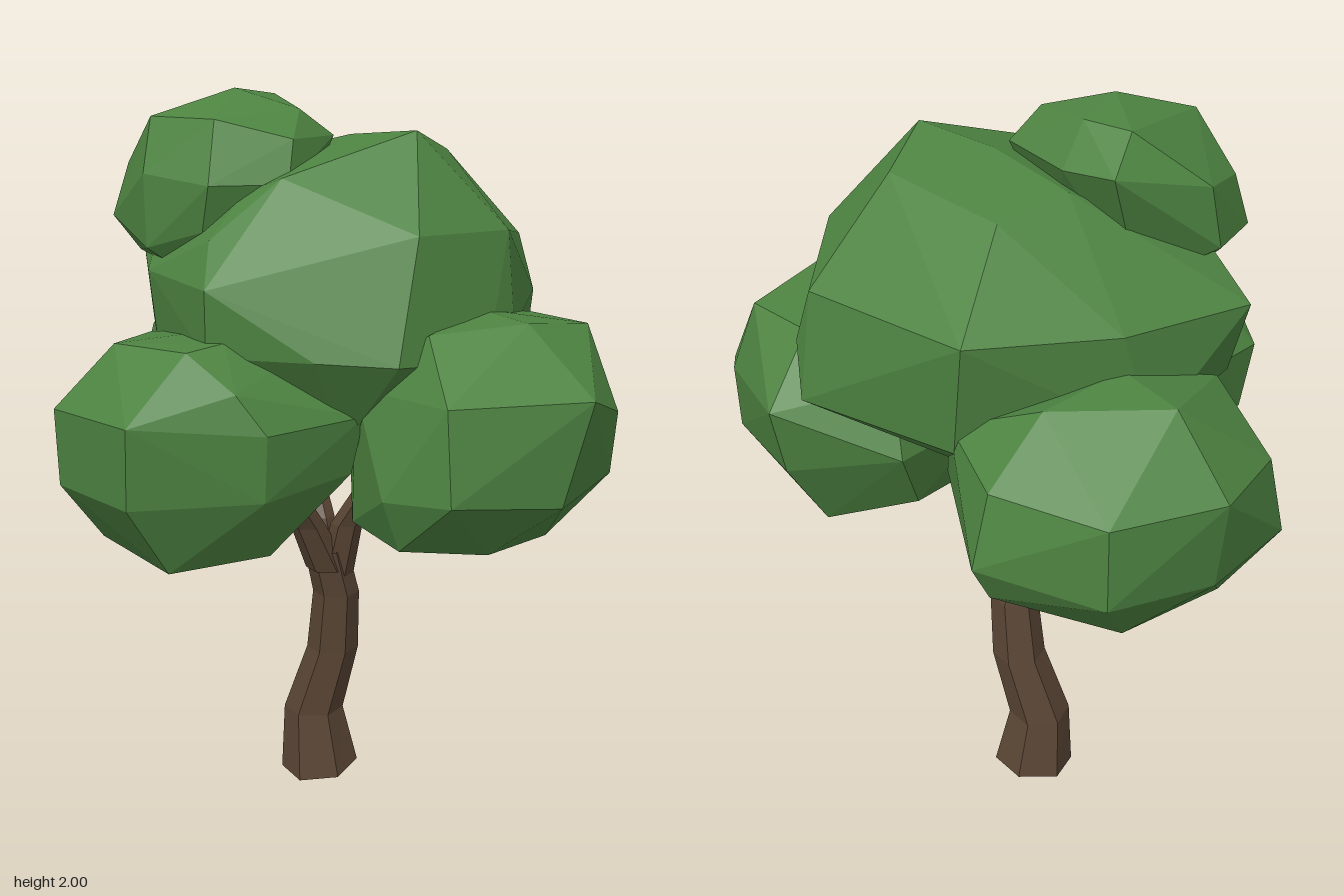
import * as THREE from 'three';
import { ConvexGeometry } from 'three/addons/geometries/ConvexGeometry.js';

const leaf = new THREE.MeshStandardMaterial({ color: 0x4d8341, flatShading: true });
leaf.name = 'leaf green';
const bark = new THREE.MeshStandardMaterial({ color: 0x5a4635, flatShading: true, side: THREE.DoubleSide });
bark.name = 'bark brown';

// Faceted leaf clump: the hull around a few corner points
function clump(name, corners) {
  const mesh = new THREE.Mesh(new ConvexGeometry(corners.map(c => new THREE.Vector3(...c))), leaf);
  mesh.name = name;
  return mesh;
}

// Open six-sided limb through rings of [x, y, z, radius]; tilt slants the first ring
function limb(name, rings, tilt = 0) {
  const N = 6, pos = [], idx = [];
  rings.forEach(([x, y, z, r], j) => {
    for (let i = 0; i < N; i++) {
      const a = (i + 0.3) / N * Math.PI * 2;
      const dz = Math.cos(a) * r;
      pos.push(x + Math.sin(a) * r, y - (j === 0 ? dz * tilt : 0), z + dz);
    }
  });
  for (let j = 0; j < rings.length - 1; j++) {
    for (let i = 0; i < N; i++) {
      const a = j * N + i, b = j * N + (i + 1) % N;
      idx.push(a, b, b + N, a, b + N, a + N);
    }
  }
  const geo = new THREE.BufferGeometry();
  geo.setAttribute('position', new THREE.Float32BufferAttribute(pos, 3));
  geo.setIndex(idx);
  const flat = geo.toNonIndexed();
  flat.computeVertexNormals();
  const mesh = new THREE.Mesh(flat, bark);
  mesh.name = name;
  return mesh;
}

export function createModel() {
  const tree = new THREE.Group();
  tree.name = 'tree';

  // Crooked trunk and its branches
  tree.add(
    limb('trunk', [[-0.09, 0.017, -0.16, 0.112], [-0.1, 0.2, -0.145, 0.086], [-0.045, 0.4, -0.17, 0.074],
      [-0.02, 0.58, -0.16, 0.066], [-0.02, 0.72, -0.12, 0.062]], 0.15),
    limb('frontBranch', [[-0.02, 0.66, -0.125, 0.06], [-0.015, 0.8, -0.05, 0.05], [0, 0.98, 0.08, 0.042]]),
    limb('leftBranch', [[-0.01, 0.64, -0.15, 0.05], [0.04, 0.8, -0.145, 0.045], [0.15, 0.97, -0.17, 0.04]]),
    limb('rightBranch', [[-0.03, 0.64, -0.14, 0.05], [-0.075, 0.8, -0.14, 0.045], [-0.19, 0.97, -0.18, 0.04]])
  );

  // Large middle clump
  tree.add(clump('mainFoliage', [
    [0.28, 1.9, -0.16], [0.05, 1.88, -0.14], [-0.2, 1.83, -0.15], [0.2, 1.84, -0.35], [-0.15, 1.8, -0.35],
    [0.15, 1.79, 0.18], [0.46, 1.66, 0], [0.45, 1.65, -0.33], [-0.25, 1.6, -0.59], [0.24, 1.6, -0.6],
    [-0.47, 1.58, -0.27], [-0.57, 1.56, 0.1], [-0.4, 1.66, 0.15], [-0.18, 1.54, 0.36], [0.14, 1.53, 0.42],
    [0.05, 1.75, 0.22], [0.07, 1.64, 0.35], [0.5, 1.35, 0.1], [0.51, 1.33, -0.2], [0.36, 1.36, 0.25],
    [0.13, 1.36, 0.41], [-0.18, 1.32, 0.33], [-0.5, 1.35, 0.12], [-0.5, 1.3, -0.2], [0.24, 1.32, -0.65],
    [0.3, 1.45, -0.6], [0.48, 1.4, -0.33], [-0.2, 1.3, -0.57], [0.32, 1.12, -0.35], [0.3, 1.12, 0.1],
    [-0.28, 1.12, 0.1], [-0.3, 1.12, -0.35]
  ]));

  // Small crown clump
  tree.add(clump('crownFoliage', [
    [-0.14, 2, 0.1], [-0.3, 1.975, -0.04], [-0.17, 1.98, -0.06], [0.03, 1.95, 0.02], [-0.24, 1.93, 0.3],
    [-0.02, 1.93, 0.26], [-0.33, 1.89, -0.14], [-0.18, 1.88, -0.15], [0.05, 1.88, -0.08], [0.1, 1.88, 0.1],
    [-0.44, 1.83, 0.1], [-0.39, 1.8, 0.27], [-0.18, 1.79, 0.37], [0.03, 1.77, 0.32], [0.13, 1.77, 0.14],
    [-0.46, 1.67, 0.12], [-0.41, 1.66, 0.31], [-0.17, 1.6, 0.37], [-0.01, 1.65, 0.31],
    [-0.34, 1.57, 0.27], [-0.14, 1.56, 0.32], [-0.3, 1.57, 0], [0, 1.57, 0.05]
  ]));

  // Lower front clump
  tree.add(clump('frontFoliage', [
    [-0.17, 1.38, 0.36], [0.01, 1.4, 0.32], [0.17, 1.4, 0.38], [-0.05, 1.39, 0.56], [0.17, 1.39, 0.5],
    [-0.12, 1.36, 0.12], [0.19, 1.37, 0.12], [-0.12, 1.23, 0.7], [0.18, 1.23, 0.69], [-0.31, 1.19, 0.54],
    [-0.335, 1.22, 0.33], [0.3, 1.3, 0.45], [0.36, 1.2, 0.4], [0.355, 1.2, 0.08], [-0.12, 1.03, 0.69],
    [0.16, 1.02, 0.68], [-0.31, 1.02, 0.48], [0.35, 1.03, 0.4], [0.33, 1.05, 0.1], [-0.29, 1.05, 0.1],
    [-0.17, 0.85, 0.53], [0.15, 0.83, 0.55], [0.27, 0.86, 0.32], [-0.19, 0.86, 0.25], [0.02, 0.785, 0.32],
    [0.06, 0.81, 0.12], [0.08, 0.95, 0.04], [0.14, 1.15, -0.02], [-0.1, 1.15, -0.02]
  ]));

  // Clumps on either side
  tree.add(clump('leftFoliage', [
    [0.45, 1.455, -0.23], [0.62, 1.44, -0.23], [0.6, 1.41, -0.48], [0.38, 1.41, -0.5], [0.5, 1.42, 0],
    [0.36, 1.24, -0.66], [0.65, 1.22, -0.53], [0.73, 1.2, -0.46], [0.82, 1.27, -0.26], [0.65, 1.27, 0.08],
    [0.32, 1.27, 0.08], [0.15, 1.3, -0.42], [0.68, 1.03, 0.09], [0.5, 1.02, 0.15], [0.78, 1, -0.2],
    [0.68, 1.02, -0.5], [0.36, 1.05, -0.62], [0.08, 1.12, -0.47], [0.1, 1.1, -0.1], [0.58, 0.84, -0.15],
    [0.57, 0.845, -0.38], [0.35, 0.85, -0.5], [0.35, 0.83, -0.28], [0.5, 0.88, 0.09], [0.28, 0.9, 0.05],
    [0.16, 0.9, -0.12], [0.12, 0.94, -0.38]
  ]));
  tree.add(clump('rightFoliage', [
    [-0.65, 1.47, -0.3], [-0.45, 1.48, -0.25], [-0.4, 1.45, -0.48], [-0.55, 1.4, 0], [-0.82, 1.29, -0.32],
    [-0.67, 1.28, -0.57], [-0.38, 1.3, -0.65], [-0.16, 1.35, -0.54], [-0.76, 1.27, -0.06], [-0.42, 1.27, 0.1],
    [-0.37, 1.11, -0.7], [-0.67, 1.06, -0.57], [-0.78, 1.04, -0.3], [-0.77, 1.04, 0], [-0.45, 1.02, 0.12],
    [-0.37, 1, -0.64], [-0.07, 1.15, -0.46], [-0.1, 1.12, -0.1], [-0.67, 0.88, -0.12], [-0.6, 0.88, -0.42],
    [-0.43, 0.84, -0.2], [-0.34, 0.87, -0.48], [-0.23, 0.86, -0.15], [-0.42, 0.88, 0.06],
    [-0.12, 0.94, -0.4], [-0.12, 0.92, -0.14], [-0.18, 1.35, -0.35]
  ]));

  return tree;
}
